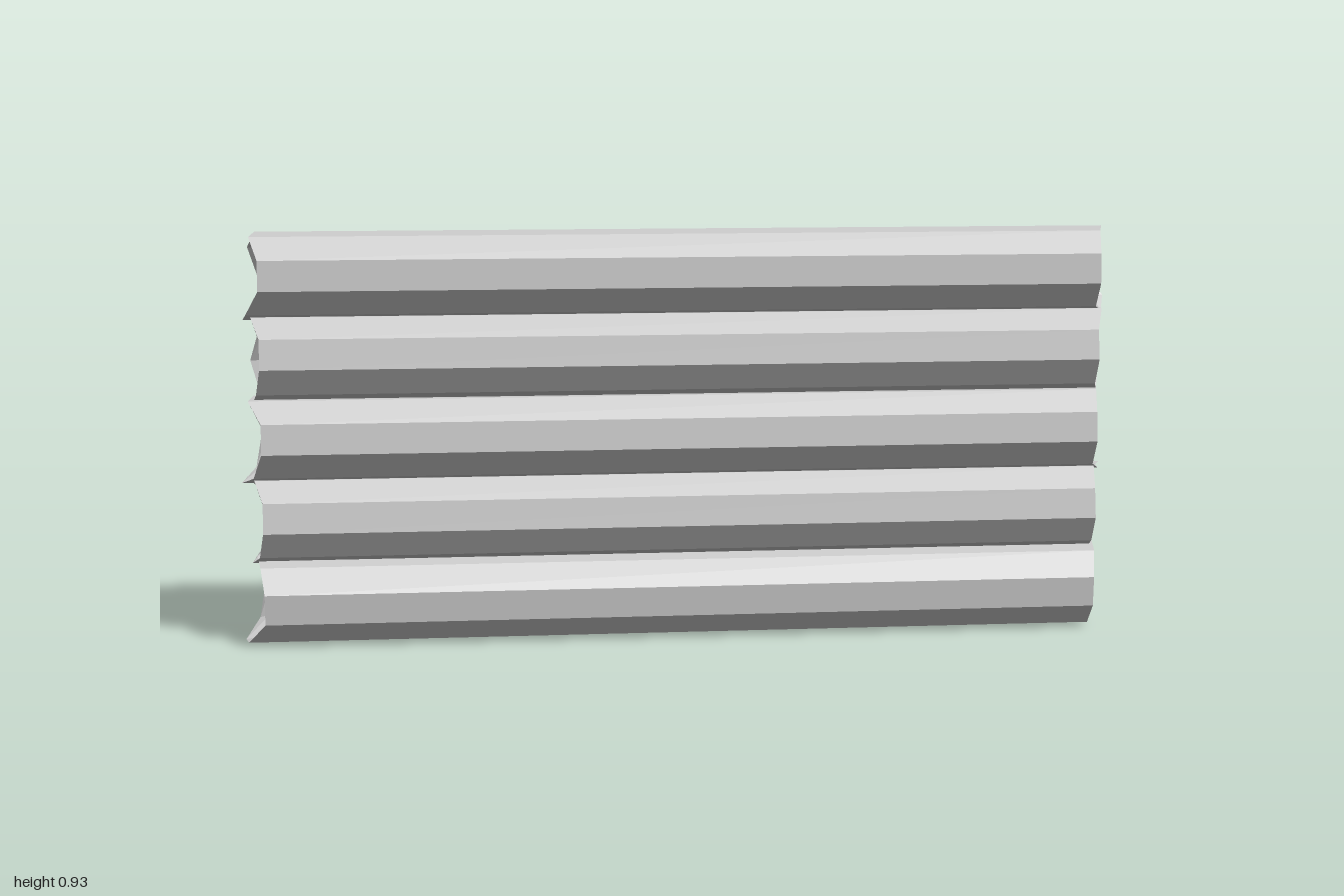
import * as THREE from 'three';

const SIDES = 9, RADIUS = 0.1, CORE = 0.09, HALF = 0.95;

// Each log: height of its axis, turn in degrees, and how far (in hundredths)
// the bark of each corner splinters past the sawn face at the two ends.
const LOGS = [
  { y: 0.102, turn: 16, right: [0, 1, 2, 2, 1, 1, 0, 0, 0], left: [0, 1, 2, 1, 1, 2, 5, 4, 0] },
  { y: 0.287, turn: 30, right: [0, 1, 4, 1, 4, 1, 1, 0, 0], left: [0, 2, 4, 1, 1, 1, 3, 1, 0] },
  { y: 0.47, turn: 27, right: [0, 1, 2, 1, 2, 1, 3, 0, 0], left: [0, 3, 2, 1, 1, 2, 5, 2, 0] },
  { y: 0.655, turn: 30, right: [0, 2, 2, 1, 1, 4, 2, 0, 0], left: [0, 2, 2, 1, 3, 1, 2, 1, 0] },
  { y: 0.839, turn: 24, right: [0, 1, 3, 1, 1, 5, 3, 0, 0], left: [0, 2, 1, 3, 1, 1, 4, 3, 0] },
];

// Rings run along x: centre, sawn face, bark tips, bark tips, sawn face, centre
function logGeometry({ turn, right, left }) {
  const rings = [
    [0, () => -HALF],
    [CORE, () => -HALF],
    [RADIUS, k => -HALF - left[k] / 100],
    [RADIUS, k => HALF + right[k] / 100],
    [CORE, () => HALF],
    [0, () => HALF],
  ];
  const positions = [], index = [];
  for (const [r, x] of rings) {
    for (let k = 0; k < SIDES; k++) {
      const a = THREE.MathUtils.degToRad(turn + (k * 360) / SIDES);
      positions.push(x(k), r * Math.sin(a), r * Math.cos(a));
    }
  }
  for (let i = 0; i < rings.length - 1; i++) {
    for (let k = 0; k < SIDES; k++) {
      const next = (k + 1) % SIDES;
      const a = i * SIDES + k, b = a + SIDES;
      const d = i * SIDES + next, c = d + SIDES;
      if (i < rings.length - 2) index.push(a, b, c);
      if (i > 0) index.push(a, c, d);
    }
  }
  const indexed = new THREE.BufferGeometry();
  indexed.setAttribute('position', new THREE.Float32BufferAttribute(positions, 3));
  indexed.setIndex(index);
  const geometry = indexed.toNonIndexed();
  geometry.computeVertexNormals();
  return geometry;
}

export function createModel() {
  const model = new THREE.Group();
  model.name = 'logWall';
  const wood = new THREE.MeshStandardMaterial({ color: 0xcccccc, flatShading: true });

  // Stacked logs, from the ground up
  LOGS.forEach((spec, i) => {
    const log = new THREE.Mesh(logGeometry(spec), wood);
    log.name = `log${i + 1}`;
    log.position.y = spec.y;
    model.add(log);
  });
  return model;
}
